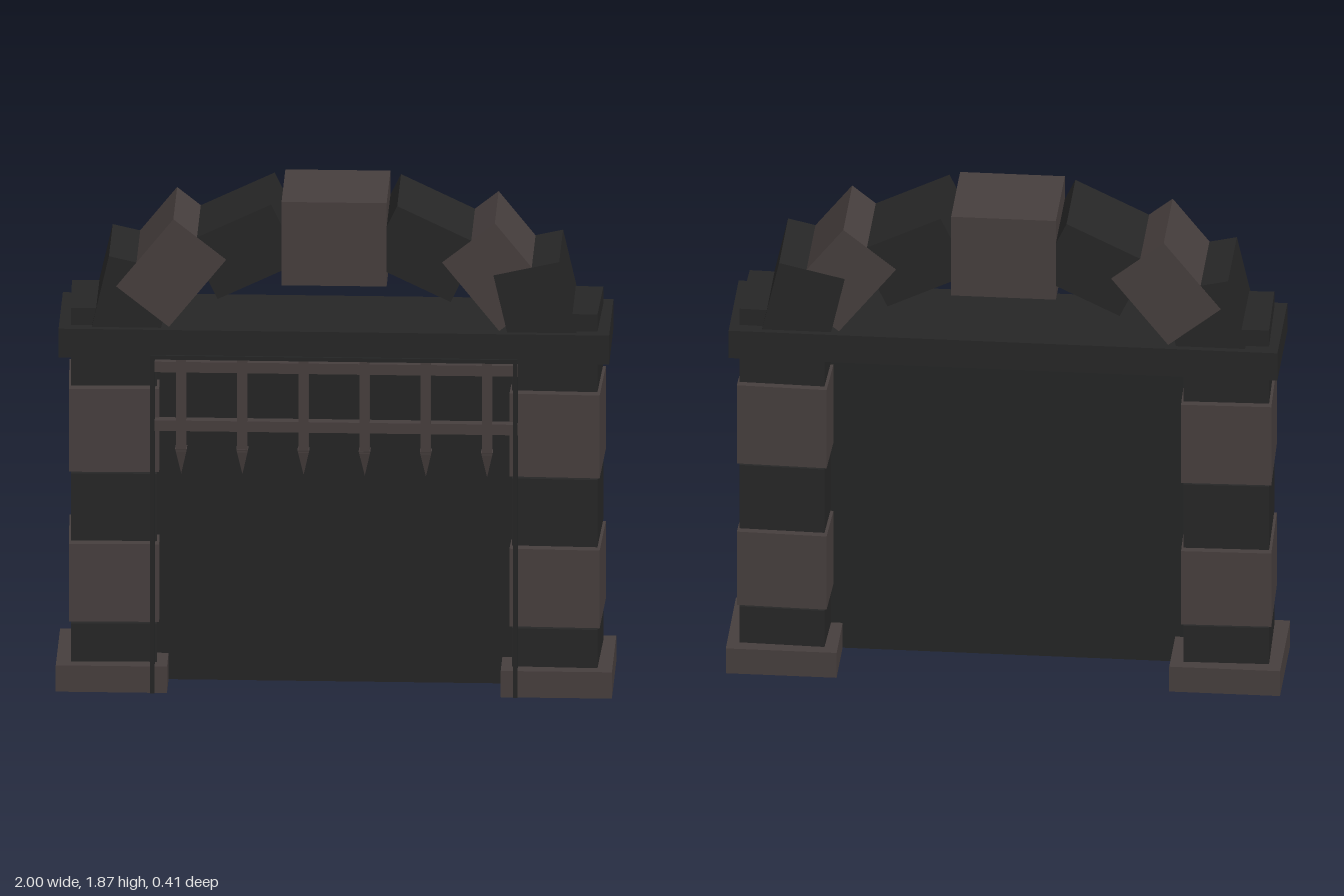
import * as THREE from 'three';

export function createModel() {
  const model = new THREE.Group();
  model.name = 'gateway';

  const mat = (name, color) => {
    const m = new THREE.MeshStandardMaterial({ color });
    m.name = name;
    return m;
  };
  const dark = mat('dark stone', 0x262626);
  const brown = mat('brown stone', 0x463e3d);
  const frameMat = mat('black door frame', 0x242525);

  const add = (name, geometry, material, x, y, z) => {
    const mesh = new THREE.Mesh(geometry, material);
    mesh.name = name;
    mesh.position.set(x, y, z);
    model.add(mesh);
    return mesh;
  };
  const box = (name, material, w, h, d, x, y, z) =>
    add(name, new THREE.BoxGeometry(w, h, d), material, x, y, z);

  const Z = -0.003; // centre plane of the masonry

  // Pillars: a wide base and alternating, slightly turned blocks
  const rows = [
    [0.09, 0.245, dark, 0.308],
    [0.255, 0.55, brown, 0.325],
    [0.56, 0.815, dark, 0.308],
    [0.825, 1.14, brown, 0.325],
    [1.15, 1.445, dark, 0.308],
  ];
  for (const s of [-1, 1]) {
    box('pillarBase', brown, 0.4, 0.1, 0.404, s * 0.8, 0.05, Z);
    for (const [y0, y1, material, w] of rows) {
      const block = box('pillarBlock', material, w, y1 - y0, w, s * 0.797, (y0 + y1) / 2, Z);
      block.rotation.y = -s * 0.03;
    }
  }

  // Lintel
  box('lintel', dark, 1.98, 0.11, 0.4, 0, 1.325, Z);

  // Arch: keystone and three stones each side, turned by a seventh of half a circle
  box('keystone', brown, 0.378, 0.317, 0.357, 0, 1.707, Z);
  const stones = [
    [0.323, 1.673, dark],
    [0.586, 1.589, brown],
    [0.728, 1.462, dark],
  ];
  for (const s of [-1, 1]) {
    stones.forEach(([x, y, material], i) => {
      // overlapping stones differ slightly in depth
      const depth = 0.355 + (i === 1 ? -0.001 : -0.003) + (s > 0 && i === 2 ? 0.004 : 0);
      const stone = box('archStone', material, 0.33, 0.243, depth, s * x, y, Z);
      stone.rotation.z = -s * (i + 1) * Math.PI / 7;
    });
  }

  // Door frame: thin jambs, header and back panel
  for (const s of [-1, 1]) box('jamb', frameMat, 0.015, 1.285, 0.17, s * 0.6525, 0.6425, 0.12);
  box('frameHeader', frameMat, 1.29, 0.015, 0.17, 0, 1.2775, 0.12);
  box('backPanel', frameMat, 1.29, 1.27, 0.012, 0, 0.635, 0.041);

  // Raised grille with pointed ends
  for (const y of [1.235, 1.012]) box('grilleCrossbar', brown, 1.322, 0.04, 0.036, 0, y, 0.167);
  for (let i = 0; i < 6; i++) {
    const x = -0.55 + i * 0.22;
    box('grilleBar', brown, 0.036, 0.35, 0.04, x, 1.09, 0.167);
    const spike = add('grilleSpike', new THREE.ConeGeometry(0.03, 0.1, 4).toNonIndexed(), brown, x, 0.875, 0.167);
    spike.geometry.computeVertexNormals();
    spike.rotation.set(Math.PI, Math.PI / 4, 0);
  }

  return model;
}
